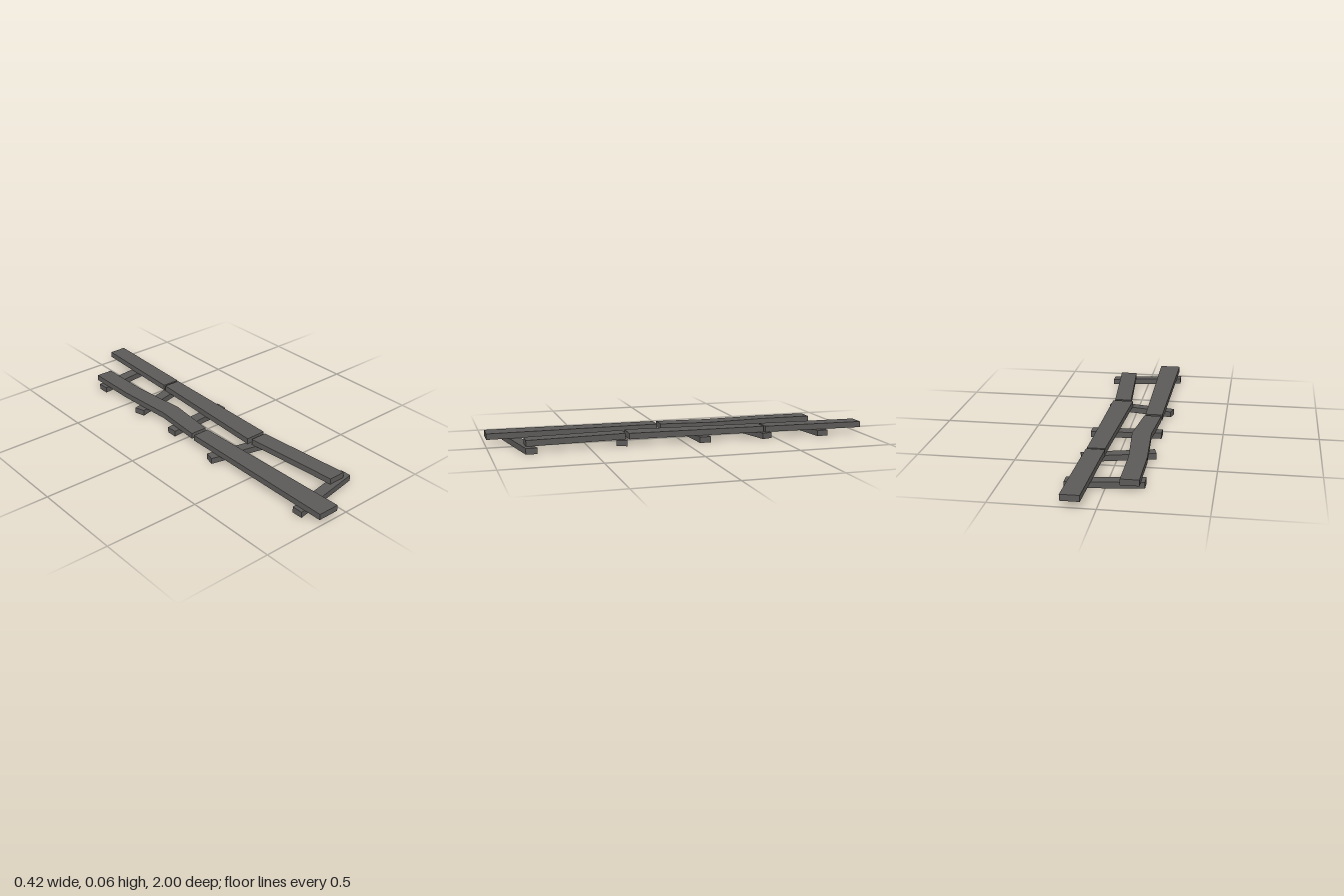
import * as THREE from 'three';

const THICK = 0.031;

// Plank open underneath. Each station is [leftX, leftZ, rightX, rightZ], listed back to front.
function plankGeometry(stations, y0) {
  const y1 = y0 + THICK;
  const pos = [];
  const quad = (a, b, c, d) => pos.push(...a, ...b, ...c, ...a, ...c, ...d);
  const left = stations.map(s => [s[0], s[1]]);
  const right = stations.map(s => [s[2], s[3]]);
  const at = (p, y) => [p[0], y, p[1]];

  // top surface
  for (let i = 0; i < stations.length - 1; i++) {
    quad(at(left[i], y1), at(left[i + 1], y1), at(right[i + 1], y1), at(right[i], y1));
  }
  // walls around the outline
  const ring = [...left, ...right.reverse()];
  ring.forEach((p, i) => {
    const q = ring[(i + 1) % ring.length];
    quad(at(p, y0), at(q, y0), at(q, y1), at(p, y1));
  });

  const g = new THREE.BufferGeometry();
  g.setAttribute('position', new THREE.Float32BufferAttribute(pos, 3));
  g.computeVertexNormals();
  return g;
}

export function createModel() {
  const model = new THREE.Group();
  model.name = 'brokenTrack';
  const wood = new THREE.MeshStandardMaterial({ color: 0x5c5a58, side: THREE.DoubleSide });
  wood.name = 'weatheredGrey';

  const add = (name, stations, y0) => {
    const mesh = new THREE.Mesh(plankGeometry(stations, y0), wood);
    mesh.name = name;
    model.add(mesh);
  };

  // skewed cross ties resting on the ground
  const ties = [
    [[-0.182, -0.75, 0.19, -0.795], [-0.182, -0.688, 0.19, -0.735]],
    [[-0.193, -0.39, 0.167, -0.48], [-0.177, -0.335, 0.182, -0.425]],
    [[-0.185, -0.108, 0.185, -0.135], [-0.185, -0.05, 0.185, -0.075]],
    [[-0.197, 0.228, 0.157, 0.305], [-0.211, 0.28, 0.14, 0.358]],
    [[-0.192, 0.842, 0.21, 0.772], [-0.192, 0.9, 0.21, 0.83]],
  ];
  ties.forEach((t, i) => add(`crossTie${i + 1}`, t, 0));

  // long planks lying on the ties, each station [leftX, rightX, z]
  const planks = {
    rightPlankBack: [[-0.163, -0.072, -0.797], [-0.163, -0.072, -0.52], [-0.143, -0.043, -0.2], [-0.163, -0.072, 0.066]],
    rightPlankFront: [[-0.166, -0.075, 0.087], [-0.172, -0.057, 0.995]],
    leftPlankBack: [[0.073, 0.166, -1], [0.055, 0.15, -0.452]],
    leftPlankMiddle: [[0.056, 0.147, -0.441], [0.023, 0.135, 0.29]],
    leftPlankFront: [[0.036, 0.127, 0.308], [0.077, 0.168, 0.823]],
  };
  for (const [name, list] of Object.entries(planks)) {
    add(name, list.map(([l, r, z]) => [l, z, r, z]), THICK);
  }
  return model;
}
